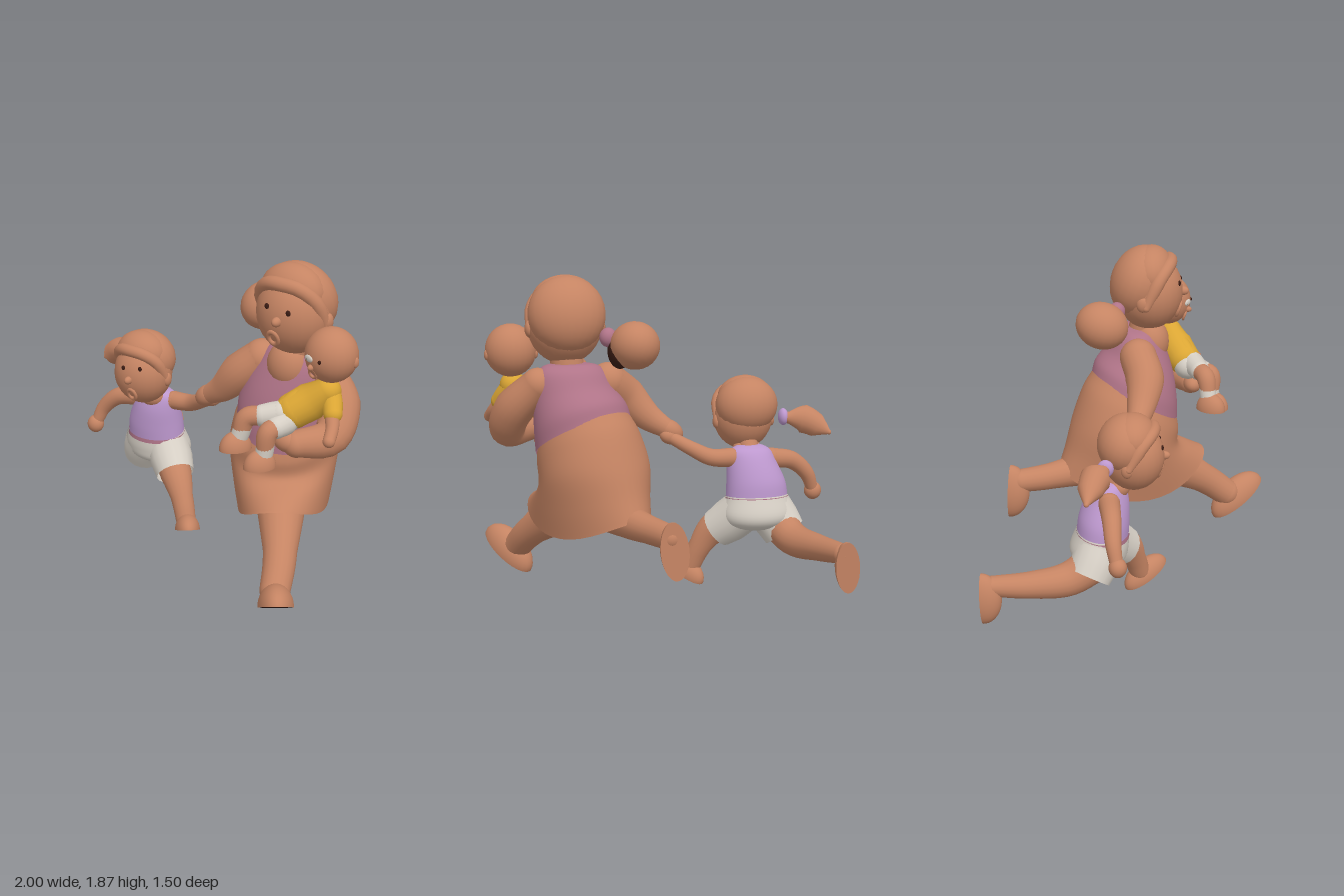
import * as THREE from 'three';

const V = (a) => new THREE.Vector3(a[0], a[1], a[2]);
const paint = (name, color) => {
  const m = new THREE.MeshStandardMaterial({ color, side: THREE.DoubleSide });
  m.name = name;
  return m;
};

export function createModel() {
  const skin = paint('warm brown', 0xc58463);
  const white = paint('off white', 0xd5cec4);
  const lilac = paint('lilac', 0xbd98ce);
  const mauve = paint('mauve', 0xb07488);
  const yellow = paint('mustard', 0xdba634);
  const dark = paint('dark brown', 0x3a1c14);

  const root = new THREE.Group();
  let group = root;
  const begin = (name) => {
    group = new THREE.Group();
    group.name = name;
    root.add(group);
  };
  const add = (name, geo, mat, parent = group) => {
    const m = new THREE.Mesh(geo, mat);
    m.name = name;
    parent.add(m);
    return m;
  };

  // Ellipsoid with centre, radii and rotation
  const sphere = new THREE.SphereGeometry(1, 24, 16);
  const ball = (name, mat, c, r, rot = [0, 0, 0], parent = group) => {
    const m = add(name, sphere, mat, parent);
    m.position.set(...c);
    m.scale.set(...r);
    m.rotation.set(...rot);
  };

  // Tapered tube through points, one radius per point, ends rounded or cut
  const limb = (name, mat, pts, radii, round = true) => {
    const g = new THREE.Group();
    g.name = name;
    group.add(g);
    const curve = new THREE.CatmullRomCurve3(pts.map(V));
    const n = 18, m = 18;
    const geo = new THREE.TubeGeometry(curve, n, 1, m, false);
    const pos = geo.attributes.position, p = new THREE.Vector3();
    for (let i = 0; i <= n; i++) {
      const c = curve.getPointAt(i / n);
      const f = (i / n) * (radii.length - 1), k = Math.min(Math.floor(f), radii.length - 2);
      const r = THREE.MathUtils.lerp(radii[k], radii[k + 1], f - k);
      for (let j = 0; j <= m; j++) {
        const id = i * (m + 1) + j;
        p.fromBufferAttribute(pos, id).sub(c).multiplyScalar(r).add(c);
        pos.setXYZ(id, p.x, p.y, p.z);
      }
    }
    add(name + 'Tube', geo, mat, g);
    if (round) [0, pts.length - 1].forEach((e) => {
      const r = radii[e ? radii.length - 1 : 0];
      ball(name + 'End', mat, pts[e], [r, r, r], [0, 0, 0], g);
    });
  };

  // Smooth skin over rings, bottom to top: x, y, z, rx, rz, slopeZ, saddle, slopeX, yaw
  const loft = (name, mat, rings) => {
    const cols = [0, 3, 6].map((k) => new THREE.CatmullRomCurve3(
      rings.map((r) => new THREE.Vector3(r[k] || 0, r[k + 1] || 0, r[k + 2] || 0)), false, 'catmullrom'));
    const n = (rings.length - 1) * 6, m = 40, pos = [], idx = [];
    for (let i = 0; i <= n; i++) {
      const [c, s, w] = cols.map((q) => q.getPoint(i / n));
      for (let j = 0; j < m; j++) {
        const t = (j / m) * Math.PI * 2;
        const ex = Math.cos(t) * s.x, ez = Math.sin(t) * s.y;
        const dx = ex * Math.cos(w.z) + ez * Math.sin(w.z), dz = ez * Math.cos(w.z) - ex * Math.sin(w.z);
        pos.push(c.x + dx, c.y + s.z * dz + w.y * dx + w.x * Math.sin(t) ** 2, c.z + dz);
        if (i < n) {
          const a = i * m + j, b = i * m + (j + 1) % m;
          idx.push(a, a + m, b, b, a + m, b + m);
        }
      }
    }
    const geo = new THREE.BufferGeometry();
    geo.setAttribute('position', new THREE.Float32BufferAttribute(pos, 3));
    geo.setIndex(idx);
    geo.computeVertexNormals();
    add(name, geo, mat);
  };

  // Domed foot on a flat sole running from heel to toe
  const foot = (name, heel, toe, up, width, height, soleMat) => {
    const g = new THREE.Group();
    g.name = name;
    const h = V(heel), t = V(toe), z = t.clone().sub(h), len = z.length();
    z.normalize();
    const x = V(up).cross(z).normalize(), y = z.clone().cross(x);
    g.quaternion.setFromRotationMatrix(new THREE.Matrix4().makeBasis(x, y, z));
    g.position.copy(h).add(t).multiplyScalar(0.5);
    group.add(g);
    const top = add(name + 'Upper', new THREE.SphereGeometry(1, 28, 12, 0, Math.PI * 2, 0, Math.PI / 2), skin, g);
    top.scale.set(width / 2, height, len / 2);
    const sole = add(name + 'Sole', new THREE.CircleGeometry(1, 28).rotateX(Math.PI / 2), soleMat, g);
    sole.scale.set(width / 2, 1, len / 2);
  };

  // Head with eyes, nose, open mouth and ears; features are x, y offsets
  const head = (c, r, eyes, nose, mouth, s) => {
    ball('head', skin, c, r);
    const on = ([x, y]) => [c[0] + x, c[1] + y, c[2] + r[2] * Math.sqrt(1 - (x / r[0]) ** 2 - (y / r[1]) ** 2)];
    eyes.forEach((e) => ball('eye', dark, on(e), [0.014 * s, 0.016 * s, 0.008]));
    ball('nose', skin, on(nose), [0.024 * s, 0.026 * s, 0.034 * s]);
    const lip = add('mouth', new THREE.TorusGeometry(0.03 * s, 0.011 * s, 10, 24), skin);
    lip.position.set(...on(mouth));
    lip.scale.set(1, 1.25, 1);
    lip.rotation.x = 0.35;
    for (const k of [-1, 1]) ball('ear', skin, [c[0] + k * (r[0] - 0.01), c[1] - 0.02, c[2] - 0.02], [0.025 * s, 0.045 * s, 0.035 * s]);
  };

  // ---- Woman ----
  begin('woman');
  head([0.55, 1.6, 0.05], [0.215, 0.23, 0.2], [[-0.055, 0.07], [0.08, 0.055]], [0.02, 0], [-0.015, -0.105], 1.05);
  ball('hair', skin, [0.545, 1.66, -0.005], [0.222, 0.22, 0.175], [0.35, 0, 0]);
  ball('hairFront', skin, [0.545, 1.72, 0.06], [0.195, 0.157, 0.135]);
  limb('fringe', skin, [[0.345, 1.56, 0.05], [0.38, 1.71, 0.12], [0.46, 1.775, 0.165], [0.55, 1.785, 0.175],
    [0.65, 1.77, 0.155], [0.725, 1.69, 0.1], [0.745, 1.55, 0.04]], [0.025, 0.04, 0.04, 0.04, 0.04, 0.04, 0.025]);
  ball('hairTie', mauve, [0.33, 1.54, -0.12], [0.05, 0.055, 0.05]);
  ball('ponytail', skin, [0.19, 1.5, -0.19], [0.14, 0.135, 0.155], [0.3, 0, 0.3]);
  ball('ponytailShade', dark, [0.27, 1.465, -0.15], [0.068, 0.1, 0.1]);
  loft('skirt', skin, [
    [0.44, 0.39, -0.04, 0.26, 0.475, -0.04, 0.16, 0.06, 0.5],
    [0.425, 0.56, -0.06, 0.29, 0.4, -0.12, 0.08, 0, 0.5],
    [0.41, 0.75, -0.08, 0.315, 0.325, -0.26, 0, -0.12, 0.5],
    [0.435, 0.89, -0.05, 0.3, 0.29, -0.42, 0, -0.22, 0.5],
    [0.46, 0.98, -0.03, 0.275, 0.25, -0.52, 0, -0.3, 0.5],
  ]);
  loft('tankTop', mauve, [
    [0.46, 0.96, -0.03, 0.285, 0.255, -0.52, 0, -0.3, 0.5],
    [0.475, 1.06, -0.02, 0.28, 0.24, -0.48, 0, -0.25, 0.5],
    [0.5, 1.18, 0, 0.25, 0.2, -0.4, 0, -0.12, 0.3],
    [0.52, 1.3, 0, 0.215, 0.15, -0.3, 0, 0, 0.1],
    [0.53, 1.365, 0, 0.16, 0.1, -0.15],
    [0.54, 1.385, 0, 0.07, 0.06],
  ]);
  ball('neckline', skin, [0.525, 1.29, 0.06], [0.125, 0.14, 0.112]);
  limb('neck', skin, [[0.54, 1.34, 0.02], [0.55, 1.46, 0.04]], [0.1, 0.09]);
  limb('rightArm', skin, [[0.31, 1.265, 0.01], [0.2, 1.17, 0.06], [0.07, 1.04, 0.05], [-0.05, 0.96, 0.03]], [0.11, 0.113, 0.085, 0.055]);
  ball('rightHand', skin, [-0.06, 0.955, 0.03], [0.085, 0.06, 0.065], [0, 0, 0.6]);
  limb('leftArm', skin, [[0.72, 1.27, -0.03], [0.85, 1.12, 0.04], [0.87, 0.98, 0.16], [0.74, 0.95, 0.29]], [0.095, 0.115, 0.105, 0.075]);
  ball('leftHand', skin, [0.7, 0.96, 0.31], [0.09, 0.06, 0.06]);
  limb('frontLeg', skin, [[0.48, 0.56, 0.05], [0.62, 0.41, 0.25], [0.73, 0.27, 0.42], [0.78, 0.17, 0.53]], [0.16, 0.13, 0.095, 0.085]);
  foot('frontFoot', [0.73, 0.01, 0.46], [0.94, 0.22, 0.74], [0, 1, 0], 0.2, 0.13, dark);
  limb('backLeg', skin, [[0.34, 0.55, -0.15], [0.26, 0.53, -0.36], [0.16, 0.52, -0.55], [0.1, 0.52, -0.68]], [0.13, 0.1, 0.08, 0.07]);
  foot('backFoot', [0.1, 0.62, -0.74], [0.07, 0.29, -0.75], [0, 0, 1], 0.16, 0.12, skin);

  // ---- Baby ----
  begin('baby');
  head([0.85, 1.445, 0.135], [0.147, 0.152, 0.142], [[0.015, 0.0], [-0.07, 0.0]], [-0.045, -0.045], [-0.045, -0.085], 0.7);
  ball('eyePatch', white, [0.79, 1.448, 0.264], [0.034, 0.019, 0.009], [0, -0.4, 0]);
  limb('shirt', yellow, [[0.84, 1.24, 0.15], [0.77, 1.18, 0.19], [0.69, 1.12, 0.25]], [0.075, 0.105, 0.1]);
  limb('leftSleeve', yellow, [[0.85, 1.23, 0.14], [0.885, 1.18, 0.17], [0.91, 1.14, 0.2]], [0.06, 0.058, 0.052]);
  limb('leftForearm', skin, [[0.905, 1.14, 0.2], [0.94, 1.08, 0.25], [0.96, 1.03, 0.31]], [0.042, 0.036, 0.034]);
  limb('rightSleeve', yellow, [[0.78, 1.23, 0.19], [0.7, 1.19, 0.25], [0.66, 1.15, 0.29]], [0.05, 0.05, 0.045]);
  ball('shorts', white, [0.66, 1.09, 0.28], [0.1, 0.085, 0.09]);
  // Two legs: hip, knee, ankle
  [[[0.64, 1.11, 0.31], [0.49, 1.08, 0.4], [0.455, 0.97, 0.42]],
    [[0.68, 1.07, 0.32], [0.645, 1.04, 0.42], [0.625, 0.91, 0.43]]].forEach(([hip, knee, ankle]) => {
    const mix = (a, b, t) => V(a).lerp(V(b), t).toArray();
    limb('shortsLeg', white, [hip, mix(hip, knee, 0.25), mix(hip, knee, 0.5)], [0.07, 0.068, 0.062]);
    limb('leg', skin, [mix(hip, knee, 0.5), knee, ankle], [0.054, 0.055, 0.042]);
    limb('sock', white, [mix(knee, ankle, 0.5), mix(knee, ankle, 0.7), ankle], [0.048, 0.05, 0.049], false);
    const [x, y, z] = ankle;
    foot('foot', [x + 0.03, y - 0.075, z - 0.065], [x - 0.06, y - 0.075, z + 0.1], [0, 1, 0], 0.14, 0.1, dark);
  });

  // ---- Girl ----
  begin('girl');
  head([-0.51, 1.01, 0.07], [0.175, 0.19, 0.17], [[-0.02, 0.065], [0.085, 0.073]], [0.025, 0.0], [0.03, -0.095], 0.9);
  ball('hair', skin, [-0.52, 1.09, 0.025], [0.184, 0.165, 0.155], [0.3, 0, 0]);
  ball('hairFront', skin, [-0.52, 1.13, 0.065], [0.162, 0.128, 0.13]);
  limb('fringe', skin, [[-0.68, 1.0, 0.06], [-0.65, 1.11, 0.12], [-0.59, 1.16, 0.165], [-0.51, 1.17, 0.18],
    [-0.43, 1.16, 0.165], [-0.37, 1.11, 0.12], [-0.35, 1.0, 0.06]], [0.02, 0.035, 0.035, 0.035, 0.035, 0.035, 0.02]);
  ball('hairTie', lilac, [-0.72, 1.025, -0.06], [0.03, 0.05, 0.045]);
  limb('ponytail', skin, [[-0.75, 1.02, -0.07], [-0.83, 1.015, -0.1], [-0.91, 0.975, -0.12], [-0.98, 0.935, -0.13]], [0.035, 0.085, 0.07, 0.014]);
  loft('tankTop', lilac, [
    [-0.555, 0.55, -0.1, 0.185, 0.145, -0.1],
    [-0.55, 0.65, -0.09, 0.175, 0.14, -0.15],
    [-0.53, 0.76, -0.07, 0.148, 0.115, -0.2],
    [-0.52, 0.83, -0.06, 0.125, 0.085, -0.15],
    [-0.52, 0.86, -0.05, 0.08, 0.055, -0.05],
    [-0.52, 0.868, -0.05, 0.03, 0.03],
  ]);
  loft('tankTopHem', mauve, [
    [-0.555, 0.545, -0.1, 0.189, 0.149, -0.1],
    [-0.555, 0.568, -0.1, 0.187, 0.147, -0.1],
  ]);
  ball('neckline', skin, [-0.515, 0.83, -0.01], [0.085, 0.07, 0.062]);
  limb('neck', skin, [[-0.52, 0.84, -0.03], [-0.515, 0.93, 0.02]], [0.06, 0.06]);
  loft('shorts', white, [
    [-0.55, 0.36, -0.11, 0.01, 0.01, 0],
    [-0.55, 0.4, -0.11, 0.17, 0.13, 0],
    [-0.555, 0.47, -0.12, 0.215, 0.165, 0],
    [-0.555, 0.575, -0.1, 0.183, 0.143, -0.1],
  ]);
  limb('shortsLeftLeg', white, [[-0.47, 0.48, -0.1], [-0.41, 0.42, -0.06], [-0.34, 0.355, -0.01]], [0.13, 0.13, 0.115], false);
  limb('shortsRightLeg', white, [[-0.63, 0.48, -0.11], [-0.67, 0.42, -0.13], [-0.71, 0.35, -0.16]], [0.14, 0.135, 0.125], false);
  limb('frontLeg', skin, [[-0.42, 0.43, -0.06], [-0.31, 0.34, 0.01], [-0.235, 0.21, 0.05], [-0.2, 0.12, 0.07]], [0.1, 0.095, 0.068, 0.06]);
  foot('frontFoot', [-0.25, 0.01, 0.0], [-0.07, 0.14, 0.21], [0, 1, 0], 0.15, 0.095, dark);
  limb('backLeg', skin, [[-0.67, 0.42, -0.13], [-0.73, 0.34, -0.27], [-0.82, 0.34, -0.47], [-0.89, 0.36, -0.67]], [0.11, 0.095, 0.075, 0.058]);
  foot('backFoot', [-0.9, 0.44, -0.73], [-0.92, 0.14, -0.72], [0, 0, 1], 0.14, 0.11, skin);
  limb('rightArm', skin, [[-0.65, 0.78, -0.05], [-0.79, 0.75, -0.02], [-0.89, 0.66, 0.0], [-0.93, 0.57, 0.02]], [0.06, 0.054, 0.046, 0.036]);
  ball('rightHand', skin, [-0.94, 0.545, 0.03], [0.052, 0.055, 0.05]);
  limb('leftArm', skin, [[-0.4, 0.8, -0.08], [-0.28, 0.81, -0.09], [-0.17, 0.86, -0.06], [-0.06, 0.92, -0.01]], [0.056, 0.05, 0.042, 0.036]);
  ball('leftHand', skin, [-0.05, 0.925, 0.0], [0.06, 0.045, 0.045], [0, 0, 0.4]);

  return root;
}
